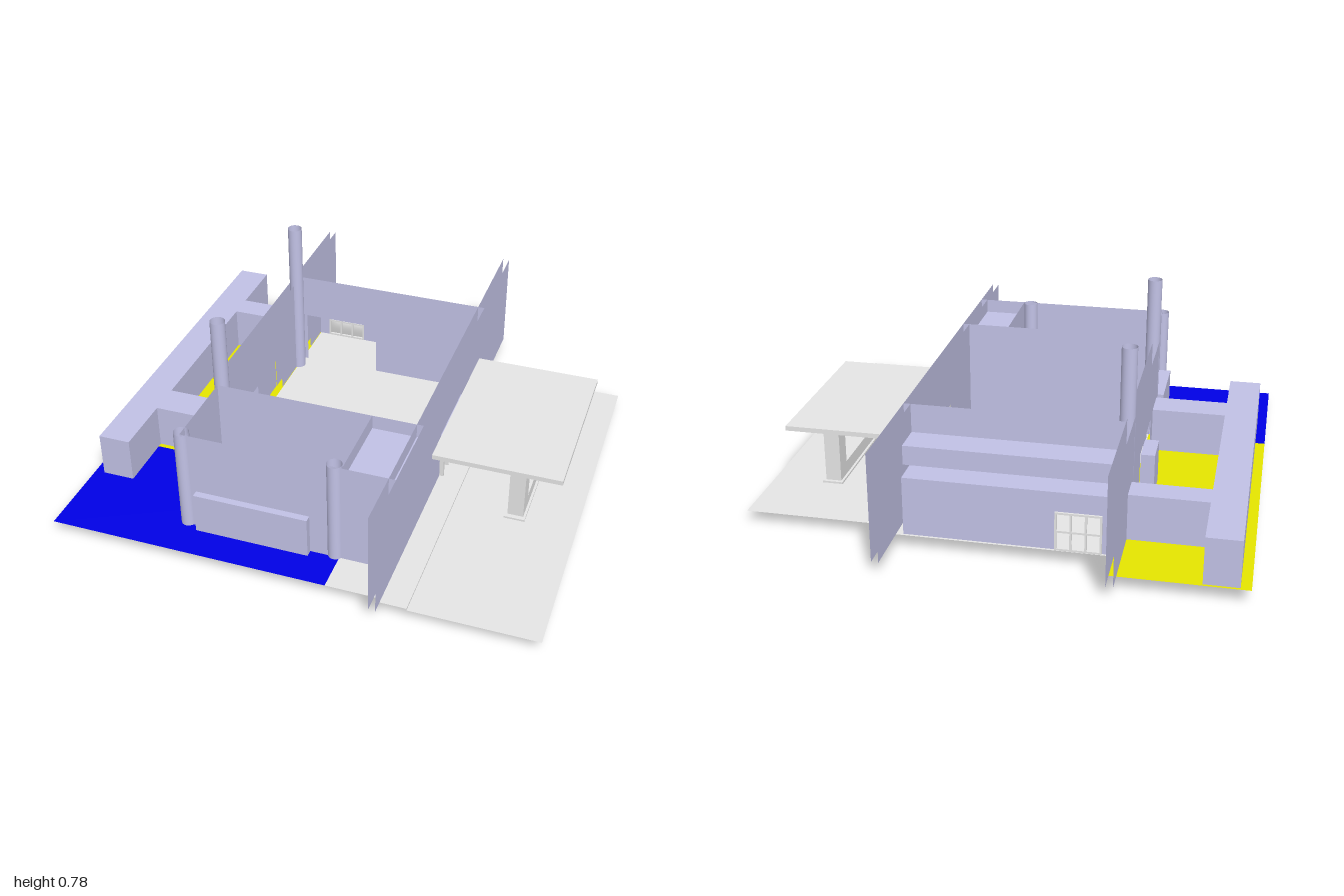
import * as THREE from 'three';

const mat = (name, color) => {
  const m = new THREE.MeshStandardMaterial({ color, side: THREE.DoubleSide });
  m.name = name;
  return m;
};

export function createModel() {
  const wallMat = mat('lavender', 0xc2c2e6);
  const stone = mat('paleGrey', 0xe6e6e6);
  const yellow = mat('yellow', 0xe6e600);
  const blue = mat('blue', 0x0000e6);
  const model = new THREE.Group();
  const F = 0.06, H = 0.5; // floor level and wall top

  const add = (name, geo, material, parent = model) => {
    const m = new THREE.Mesh(geo, material);
    m.name = name;
    parent.add(m);
    return m;
  };
  const group = (name) => {
    const g = new THREE.Group();
    g.name = name;
    model.add(g);
    return g;
  };
  // Flat sheet facing up
  const sheet = (name, x0, x1, z0, z1, y, material, parent) => {
    const g = new THREE.PlaneGeometry(x1 - x0, z1 - z0).rotateX(-Math.PI / 2);
    return add(name, g.translate((x0 + x1) / 2, y, (z0 + z1) / 2), material, parent);
  };
  const box = (name, x0, x1, y0, y1, z0, z1, material, parent) => {
    const g = new THREE.BoxGeometry(x1 - x0, y1 - y0, z1 - z0);
    return add(name, g.translate((x0 + x1) / 2, (y0 + y1) / 2, (z0 + z1) / 2), material, parent);
  };
  // Thin upright panel with doorways [from, to, head]
  const panel = (a0, a1, y1, doors) => {
    const s = new THREE.Shape();
    s.moveTo(a0, F);
    for (const [d0, d1, head] of doors) {
      s.lineTo(d0, F); s.lineTo(d0, head); s.lineTo(d1, head); s.lineTo(d1, F);
    }
    s.lineTo(a1, F); s.lineTo(a1, y1); s.lineTo(a0, y1);
    s.closePath();
    return new THREE.ShapeGeometry(s);
  };
  // Facing +z, spanning x
  const wallX = (name, x0, x1, z, y1, parent, doors = []) =>
    add(name, panel(x0, x1, y1, doors).translate(0, 0, z), wallMat, parent);
  // Facing +x, spanning z
  const wallZ = (name, x, z0, z1, y1, parent, doors = []) => {
    const flipped = doors.map(([a, b, h]) => [-b, -a, h]).reverse();
    return add(name, panel(-z1, -z0, y1, flipped).rotateY(Math.PI / 2).translate(x, 0, 0), wallMat, parent);
  };
  // Walls and roof without a bottom
  const shell = (name, x0, x1, z0, z1, y1) => {
    const g = group(name);
    wallX('frontSide', x0, x1, z1, y1, g);
    wallX('backSide', -x1, -x0, -z0, y1, g).rotation.y = Math.PI;
    wallZ('leftSide', x1, z0, z1, y1, g);
    wallZ('rightSide', -x0, -z1, -z0, y1, g).rotation.y = Math.PI;
    sheet('roof', x0, x1, z0, z1, y1, wallMat, g);
    return g;
  };

  // Ground areas
  sheet('mainFloor', -0.485, 0.385, -0.78, 0.34, F, stone);
  sheet('entryFloor', 0.16, 0.385, 0.34, 0.93, F, stone);
  sheet('walkway', 0.385, 0.49, -0.7, 0.95, F, stone);
  sheet('driveway', 0.49, 1, -0.7, 0.95, 0.052, stone);
  box('kerb', 0.483, 0.49, 0.052, F - 0.0005, -0.7, 0.95, stone);
  sheet('yellowCourt', -1, -0.485, -0.82 - 0.1, 0.34, F, yellow);
  sheet('bluePool', -1, 0.16, 0.34, 0.93, F, blue);

  // Long parallel walls, each two sheets with open tops
  const rightDoors = [[-0.63, -0.53, 0.24], [-0.26, -0.11, 0.24], [-0.05, 0.1, 0.24], [0.19, 0.32, 0.24]];
  const courtWall = group('courtWall');
  for (const x of [-0.515, -0.487]) wallZ('courtWallSheet', x, -1, 0.35, H, courtWall, rightDoors);
  for (const [z0, z1] of [rightDoors[0], rightDoors[2], rightDoors[3]])
    sheet('doorHead', -0.515, -0.487, z0, z1, 0.24, wallMat, courtWall);
  const entryWall = group('entryWall');
  for (const x of [0.357, 0.385]) wallZ('entryWallSheet', x, -1, 1, H, entryWall, [[-0.17, 0.145, 0.25]]);

  // Glazed entry door frame
  const door = group('entryDoorFrame');
  box('topRail', 0.38, 0.402, 0.235, 0.25, -0.17, 0.145, stone, door);
  for (let i = 0; i < 5; i++) {
    const w = i % 4 === 0 ? 0.007 : 0.003, z = 0.137 - i * 0.075;
    box('post', 0.38, 0.402, F, 0.235, z - w, z + w, stone, door);
  }
  box('doorLintel', 0.385, 0.402, 0.25, 0.27, -0.17, 0.145, wallMat, door);

  // Low corridor wrapped around the court
  const corridor = group('corridor');
  const c = 0.25;
  wallZ('outerWall', -0.96, -0.91, 0.58, c, corridor);
  wallZ('innerWallBack', -0.825, -0.91, -0.64, c, corridor);
  wallZ('innerWallMiddle', -0.825, -0.53, 0.18, c, corridor);
  wallZ('innerWallFront', -0.825, 0.32, 0.58, c, corridor);
  for (const z of [-0.91, 0.58]) wallX('endWall', -0.96, -0.825, z, c, corridor);
  for (const z of [-0.64, -0.53, 0.18, 0.32]) wallX('armWall', -0.825, -0.515, z, c, corridor);
  sheet('backRoof', -0.96, -0.825, -0.91, -0.53, c, wallMat, corridor);
  sheet('frontRoof', -0.96, -0.825, 0.18, 0.58, c, wallMat, corridor);
  sheet('backArmRoof', -0.825, -0.515, -0.64, -0.53, c, wallMat, corridor);
  sheet('frontArmRoof', -0.825, -0.515, 0.18, 0.32, c, wallMat, corridor);
  // The middle roof is an inward sheet, so its normals point down
  const mid = sheet('middleRoof', -0.96, -0.825, -0.53, 0.18, c, wallMat, corridor);
  mid.geometry.attributes.normal.array.forEach((v, i, a) => { a[i] = -v; });

  // Hearth niche beside the court
  shell('hearth', -0.575, -0.517, -0.26, -0.11, 0.24);

  // Front room with open top
  const room = group('frontRoom');
  wallX('backWall', -0.485, 0.175, 0.41, H, room);
  wallX('frontWall', -0.485, 0.385, 0.765, H, room);
  wallZ('courtSideWall', -0.485, 0.41, 0.765, H, room);
  wallZ('entrySideWall', 0.175, 0.41, 0.765, H, room);
  wallX('closetWall', 0.175, 0.385, 0.41, H, room);
  sheet('roomFloor', -0.485, 0.175, 0.41, 0.765, F + 0.004, wallMat, room);
  sheet('closetRoof', 0.175, 0.385, 0.41, 0.765, 0.44, wallMat, room);
  shell('frontBay', -0.435, 0.04, 0.766, 0.795, 0.235);
  shell('sideBay', -0.54, -0.486, 0.39, 0.69, 0.235);

  // Stepped rooms at the back
  const back = group('backRooms');
  wallX('hallWall', -0.485, 0.385, -0.53, H, back, [[-0.46, -0.12, 0.3]]);
  sheet('upperRoof', -0.485, 0.385, -0.66, -0.53, 0.38, wallMat, back);
  add('stepWall', new THREE.PlaneGeometry(0.87, 0.08).rotateY(Math.PI).translate(-0.05, 0.34, -0.66), wallMat, back);
  sheet('lowerRoof', -0.485, 0.33, -0.77, -0.66, 0.3, wallMat, back);
  wallX('rearWall', -0.485, 0.33, -0.77, 0.3, back, [[-0.44, -0.26, 0.22]]);
  wallZ('rearSide', 0.33, -0.77, -0.66, 0.3, back);

  // Glazed rear door
  const rear = group('rearDoorFrame');
  for (const y of [0.064, 0.14, 0.216]) box('rail', -0.44, -0.26, y - 0.004, y + 0.004, -0.778, -0.768, stone, rear);
  for (let i = 0; i < 4; i++) {
    const x = -0.436 + i * 0.0573;
    box('stile', x - 0.004, x + 0.004, F, 0.22, -0.778, -0.768, stone, rear);
  }

  // Round columns, open at the ends
  for (const [x, z, h] of [[-0.485, -0.47, 0.78], [-0.485, 0.37, 0.78], [-0.485, 0.75, 0.503], [0.14, 0.75, 0.503]])
    add('column', new THREE.CylinderGeometry(0.031, 0.031, h, 24, 1, true).translate(x, h / 2, z), wallMat);

  // Canopy on a frame
  const canopy = group('canopy');
  box('canopyRoof', 0.4, 0.93, 0.285, 0.305, -0.42, 0.33, stone, canopy);
  box('canopyBase', 0.705, 0.79, 0.04, F, -0.4, 0.315, stone, canopy);
  box('lowBeam', 0.715, 0.78, F, 0.115, -0.31, 0.22, stone, canopy);
  for (const z of [-0.385, 0.22]) box('canopyPost', 0.715, 0.78, F, 0.285, z, z + 0.075, stone, canopy);

  return model;
}
